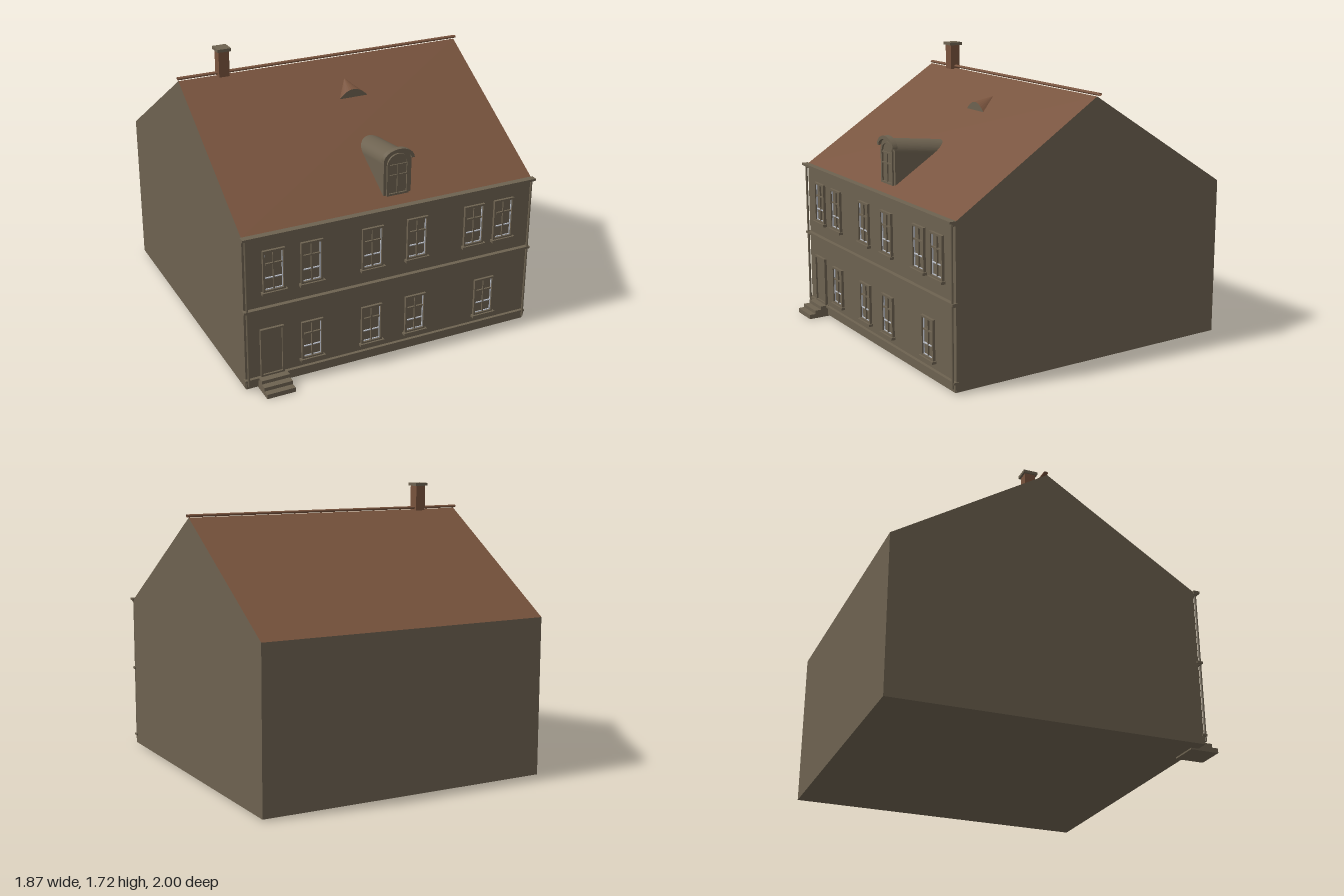
import * as THREE from 'three';

const mat = (name, color, side = THREE.FrontSide) => {
  const m = new THREE.MeshStandardMaterial({ color, side });
  m.name = name;
  return m;
};

export function createModel() {
  const house = new THREE.Group();
  house.name = 'house';
  const stone = mat('stone', 0x6d6250);
  const tile = mat('roofTile', 0x78533d, THREE.DoubleSide);
  const sash = mat('windowSash', 0xb9bdc6);

  const WALL = 0.865, EAVE = 0.965, RIDGE_Z = -0.065, RIDGE_Y = 1.553, BASE = 0.009;

  const add = (name, geo, material, parent = house) => {
    const m = new THREE.Mesh(geo, material);
    m.name = name;
    parent.add(m);
    return m;
  };
  // Box given by its limits on each axis
  const box = (name, x0, x1, y0, y1, z0, z1, material = stone, parent = house) => {
    const m = add(name, new THREE.BoxGeometry(x1 - x0, y1 - y0, z1 - z0), material, parent);
    m.position.set((x0 + x1) / 2, (y0 + y1) / 2, (z0 + z1) / 2);
    return m;
  };
  // Flat polygons, each fanned from its first corner
  const polys = (list) => {
    const pos = [];
    for (const p of list)
      for (let i = 1; i < p.length - 1; i++) pos.push(...p[0], ...p[i], ...p[i + 1]);
    const g = new THREE.BufferGeometry();
    g.setAttribute('position', new THREE.Float32BufferAttribute(pos, 3));
    g.computeVertexNormals();
    return g;
  };

  // Gabled body; the right gable is slightly out of square
  const section = [[WALL, BASE], [WALL, EAVE], [RIDGE_Z, RIDGE_Y], [-1, EAVE], [-1, BASE]];
  const L = section.map(([z, y]) => [-0.926, y, z]);
  const R = section.map(([z, y]) => [0.913 + 0.012 * z, y, z]);
  const strip = (i) => {
    const j = (i + 1) % 5;
    return [L[i], R[i], R[j], L[j]];
  };
  add('walls', polys([strip(0), strip(3), strip(4), L, [...R].reverse()]), stone);
  add('roof', polys([strip(1), strip(2)]), tile);

  const ridge = add('ridgeTiles', new THREE.CylinderGeometry(0.0145, 0.0145, 1.855, 12, 1, true), tile);
  ridge.rotation.z = Math.PI / 2;
  ridge.scale.x = 0.6;
  ridge.position.set(-0.001, 1.565, -0.073);

  // Horizontal bands across the front
  box('plinth', -0.925, 0.922, BASE, 0.057, WALL - 0.01, 0.873);
  box('plinthLedge', -0.933, 0.93, 0.057, 0.07, WALL - 0.01, 0.885);
  box('beltCourse', -0.933, 0.93, 0.502, 0.516, WALL - 0.01, 0.892);
  box('beltCourseLower', -0.926, 0.923, 0.493, 0.502, WALL - 0.01, 0.88);
  [[0.94, 0.949, 0.88], [0.949, 0.957, 0.893], [0.957, 0.97, 0.905]].forEach(([y0, y1, z], i) =>
    box('cornice', -0.927 - 0.004 * i, 0.924 + 0.004 * i, y0, y1, WALL, z));

  // Drain pipes at the corners
  for (const x of [-0.913, 0.914]) {
    const pipe = add('drainPipe', new THREE.CylinderGeometry(0.007, 0.007, 0.92, 10), stone);
    pipe.position.set(x, 0.492, 0.884);
  }

  // Windows: surround, sill, sash edges, bars
  const frameGeo = (hw, h, t, depth) => {
    const s = new THREE.Shape([[-hw, 0], [hw, 0], [hw, h], [-hw, h]].map((p) => new THREE.Vector2(...p)));
    const k = hw - t;
    s.holes.push(new THREE.Path([[-k, t], [-k, h - t], [k, h - t], [k, t]].map((p) => new THREE.Vector2(...p))));
    return new THREE.ExtrudeGeometry(s, { depth, bevelEnabled: false });
  };
  const surroundGeo = frameGeo(0.067, 0.256, 0.012, 0.016);
  const sashGeo = frameGeo(0.055, 0.232, 0.004, 0.007);
  const makeWindow = (x, y, heightScale) => {
    const w = new THREE.Group();
    w.name = 'window';
    w.position.set(x, y, WALL);
    w.scale.y = heightScale;
    house.add(w);
    add('surround', surroundGeo, stone, w);
    add('sashEdge', sashGeo, sash, w).position.y = 0.012;
    box('sill', -0.077, 0.077, -0.014, 0.002, -0.005, 0.027, stone, w);
    box('mullion', -0.004, 0.004, 0.012, 0.244, -0.002, 0.01, stone, w);
    box('transom', -0.051, 0.051, 0.166, 0.175, -0.002, 0.011, stone, w);
    box('lowerBar', -0.051, 0.051, 0.082, 0.087, -0.002, 0.009, sash, w);
  };
  for (const x of [-0.743, -0.513, -0.133, 0.155, 0.535, 0.737]) makeWindow(x, 0.608, 1);
  for (const x of [-0.513, -0.133, 0.155, 0.628]) makeWindow(x, 0.118, 0.94);

  // Door and steps
  const door = new THREE.Group();
  door.name = 'door';
  house.add(door);
  const doorFrame = add('doorFrame', frameGeo(0.072, 0.305, 0.012, 0.017), stone, door);
  doorFrame.position.set(-0.762, 0.07, WALL);
  box('doorLeaf', -0.822, -0.702, 0.07, 0.363, WALL - 0.005, 0.871, stone, door);
  [[1, 0, 0.028], [0.962, 0.028, 0.05], [0.922, 0.05, 0.071]].forEach(([z, y0, y1]) =>
    box('step', -0.85, -0.676, y0, y1, 0.825, z));

  // Arched dormer with a barrel roof falling gently backwards
  const dormer = new THREE.Group();
  dormer.name = 'dormer';
  dormer.position.set(0.055, 0, 0);
  house.add(dormer);
  const arch = (C, hw, y0, spring, rise) => {
    const s = new C();
    s.moveTo(-hw, y0);
    s.lineTo(hw, y0);
    s.lineTo(hw, spring);
    s.absellipse(0, spring, hw, rise, 0, Math.PI, false);
    s.lineTo(-hw, y0);
    return s;
  };
  const extrude = (s, depth) => new THREE.ExtrudeGeometry(s, { depth, bevelEnabled: false, curveSegments: 24 });
  const barrel = extrude(arch(THREE.Shape, 0.088, 0.99, 1.2, 0.074), 0.38);
  const p = barrel.attributes.position;
  for (let i = 0; i < p.count; i++) p.setY(i, p.getY(i) - 0.12 * (0.38 - p.getZ(i)));
  barrel.computeVertexNormals();
  add('dormerBody', barrel, stone, dormer).position.z = 0.42;

  const hood = new THREE.Shape();
  hood.absellipse(0, 1.222, 0.098, 0.066, 0, Math.PI, false);
  hood.lineTo(-0.08, 1.222);
  hood.absellipse(0, 1.222, 0.08, 0.046, Math.PI, 0, true);
  add('dormerHood', extrude(hood, 0.032), stone, dormer).position.z = 0.787;

  const surround = arch(THREE.Shape, 0.07, 1.003, 1.19, 0.066);
  surround.holes.push(arch(THREE.Path, 0.056, 1.015, 1.19, 0.053));
  add('dormerSurround', extrude(surround, 0.012), stone, dormer).position.z = 0.798;
  box('dormerMullion', -0.004, 0.004, 1.015, 1.19, 0.798, 0.808, stone, dormer);
  for (const y of [1.125, 1.187])
    box('dormerBar', -0.056, 0.056, y - 0.004, y + 0.004, 0.798, 0.808, stone, dormer);

  // Small eyebrow vent: curved front, roof running back to a point
  const arc = [];
  for (let i = 0; i <= 12; i++) {
    const t = i / 6 - 1;
    arc.push([0.07 - 0.092 * t, 1.388 + 0.05 * (1 - t * t), 0.21]);
  }
  const tip = [0.07, 1.464, 0.08];
  add('eyebrowFront', polys([[...arc].reverse()].map((a) => a.reverse())), stone);
  add('eyebrowRoof', polys(arc.slice(1).map((q, i) => [arc[i], tip, q])), tile);

  // Chimney
  box('chimneyStack', -0.685, -0.62, 1.547, 1.702, -0.1, -0.034, tile);
  box('chimneyCap', -0.695, -0.61, 1.702, 1.72, -0.112, -0.024);

  return house;
}
